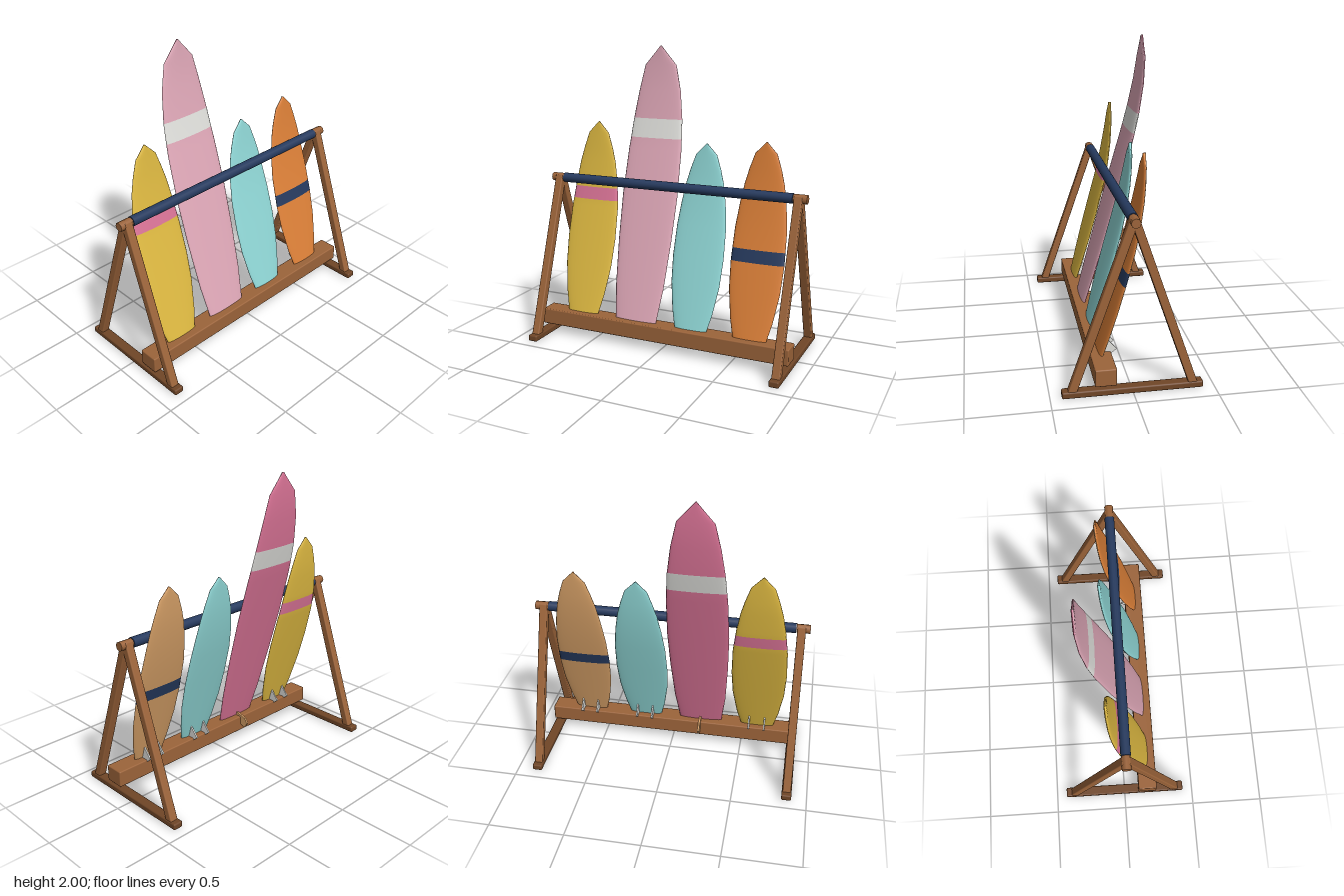
import * as THREE from 'three';
import { RoundedBoxGeometry } from 'three/addons/geometries/RoundedBoxGeometry.js';

const paint = (name, color) => {
  const m = new THREE.MeshStandardMaterial({ color });
  m.name = name;
  return m;
};

// Outline tables: [fraction of length, half width]
const SHORT = [[0, 0.085], [0.06, 0.117], [0.15, 0.148], [0.29, 0.178], [0.425, 0.187], [0.58, 0.181],
  [0.7, 0.162], [0.8, 0.138], [0.87, 0.112], [0.945, 0.077], [1, 0.003]];
const LONG = [[0, 0.13], [0.045, 0.153], [0.16, 0.18], [0.32, 0.198], [0.476, 0.206], [0.634, 0.198],
  [0.74, 0.183], [0.843, 0.155], [0.932, 0.117], [1, 0.003]];
const TAIL = 0.09;

// Lean of the boards with the nose curving forward
const shortPath = y => 0.165 - 0.27 * (y - 0.17) + 0.17 * Math.max(0, y - 0.8) ** 2;
const longPath = y => 0.165 - 0.28 * (y - 0.17) + 0.126 * Math.max(0, y - 1.1) ** 3;

function halfWidth(table, u) {
  for (let i = 1; i < table.length; i++) {
    const [u0, w0] = table[i - 1], [u1, w1] = table[i];
    if (u <= u1) return w0 + (w1 - w0) * (u - u0) / (u1 - u0);
  }
  return table[table.length - 1][1];
}

// Board skin from oval rings; material slots: 0 deck, 1 underside, 2 stripe
function boardGeometry({ table, path, tip, scale, stripe }) {
  const N = 24, len = tip - TAIL;
  const ys = table.map(p => TAIL + p[0] * len);
  if (stripe) ys.push(...stripe);
  ys.sort((a, b) => a - b);
  const pos = [];
  for (const y of ys) {
    const u = (y - TAIL) / len;
    const w = halfWidth(table, u) * scale;
    const th = 0.019 * (1 - 0.5 * u ** 6);
    for (let j = 0; j < N; j++) {
      const a = j / N * Math.PI * 2, s = Math.sin(a);
      pos.push(w * Math.cos(a), y, path(y) + th * Math.sign(s) * Math.abs(s) ** 0.8);
    }
  }
  const faces = [[], [], []];
  for (let i = 0; i < ys.length - 1; i++) {
    const mid = (ys[i] + ys[i + 1]) / 2;
    const striped = stripe && mid > stripe[0] && mid < stripe[1];
    for (let j = 0; j < N; j++) {
      const k = (j + 1) % N;
      const A = i * N + j, B = i * N + k, C = B + N, D = A + N;
      faces[striped ? 2 : j < N / 2 ? 0 : 1].push(A, D, C, A, C, B);
    }
  }
  // Close the tail and the nose
  const last = (ys.length - 1) * N;
  for (let j = 1; j < N - 1; j++) {
    faces[1].push(0, j, j + 1);
    faces[0].push(last, last + j + 1, last + j);
  }
  const geo = new THREE.BufferGeometry();
  geo.setAttribute('position', new THREE.Float32BufferAttribute(pos, 3));
  geo.setIndex(faces.flat());
  let start = 0;
  faces.forEach((f, m) => {
    geo.addGroup(start, f.length, m);
    start += f.length;
  });
  geo.computeVertexNormals();
  return geo;
}

// Thin plate from [z, y] corners
function finGeometry(points, depth) {
  const shape = new THREE.Shape(points.map(p => new THREE.Vector2(...p)));
  const geo = new THREE.ExtrudeGeometry(shape, { depth, bevelEnabled: false });
  return geo.translate(0, 0, -depth / 2).rotateY(-Math.PI / 2);
}
const SIDE_FIN = [[0.14, 0.278], [0.064, 0.19], [0.105, 0.158], [0.155, 0.18]];
const CENTRE_FIN = [[0.16, 0.15], [0.123, 0.052], [0.15, 0.07], [0.18, 0.11]];
const LONG_FIN = [[0.14, 0.2], [0.055, 0.175], [0.033, 0.14], [0.06, 0.1], [0.16, 0.14]];

export function createModel() {
  const root = new THREE.Group();
  root.name = 'surfboardRack';

  const wood = paint('wood', 0x9c643a);
  const darkWood = paint('darkWood', 0x704627);
  const navy = paint('navy', 0x263a5e);
  const yellow = paint('yellow', 0xdfba42);
  const pink = paint('palePink', 0xdea7b7);
  const rose = paint('rose', 0xdc7598);
  const teal = paint('aqua', 0x8fd6d5);
  const orange = paint('orange', 0xdc8038);
  const tan = paint('tan', 0xd6a067);
  const white = paint('offWhite', 0xdfdfdb);

  const add = (name, geo, mat, parent = root) => {
    const m = new THREE.Mesh(geo, mat);
    m.name = name;
    parent.add(m);
    return m;
  };
  const block = (w, h, d, r = 0.008) => new RoundedBoxGeometry(w, h, d, 2, r);

  // A-frame at each end
  const rise = 1.07, run = 0.37;
  for (const side of [1, -1]) {
    const frame = new THREE.Group();
    frame.name = side > 0 ? 'leftFrame' : 'rightFrame';
    frame.position.x = side * 0.865;
    root.add(frame);
    add('foot', block(0.066, 0.042, 0.86, 0.01), darkWood, frame).position.y = 0.024;
    for (const s of [1, -1]) {
      const leg = add(s > 0 ? 'frontLeg' : 'backLeg', block(0.055, Math.hypot(rise, run), 0.052), wood, frame);
      leg.position.set(0, 0.03 + rise / 2, s * run / 2);
      leg.rotation.x = -s * Math.atan2(run, rise);
    }
    const peg = add('barEnd', new THREE.CylinderGeometry(0.03, 0.03, 0.09, 8), wood, frame);
    peg.rotation.z = Math.PI / 2;
    peg.position.set(side * 0.012, 1.085, 0);
  }

  // Padded top bar and lower beam
  const bar = add('paddedBar', new THREE.CylinderGeometry(0.033, 0.033, 1.66, 16), navy);
  bar.rotation.z = Math.PI / 2;
  bar.position.y = 1.085;
  add('lowerBeam', block(1.795, 0.11, 0.132), wood).position.set(0, 0.12, 0.166);

  // Boards
  const short = { table: SHORT, path: shortPath };
  const boards = [
    { name: 'yellowBoard', x: -0.61, ...short, tip: 1.48, scale: 1, stripe: [0.94, 1.025], mats: [yellow, yellow, rose] },
    { name: 'longBoard', x: -0.2, table: LONG, path: longPath, tip: 2, scale: 1, stripe: [1.38, 1.51], mats: [pink, rose, white], single: true },
    { name: 'aquaBoard', x: 0.205, ...short, tip: 1.375, scale: 0.965, mats: [teal, teal, teal] },
    { name: 'orangeBoard', x: 0.615, ...short, tip: 1.41, scale: 0.965, stripe: [0.648, 0.73], mats: [orange, tan, navy] },
  ];
  for (const b of boards) {
    const g = new THREE.Group();
    g.name = b.name;
    g.position.x = b.x;
    root.add(g);
    add('board', boardGeometry(b), b.mats, g);
    if (b.single) {
      add('centreFin', finGeometry(LONG_FIN, 0.014), tan, g);
    } else {
      add('centreFin', finGeometry(CENTRE_FIN, 0.01), white, g);
      for (const s of [1, -1]) add('sideFin', finGeometry(SIDE_FIN, 0.01), white, g).position.x = s * 0.055;
    }
  }
  return root;
}
